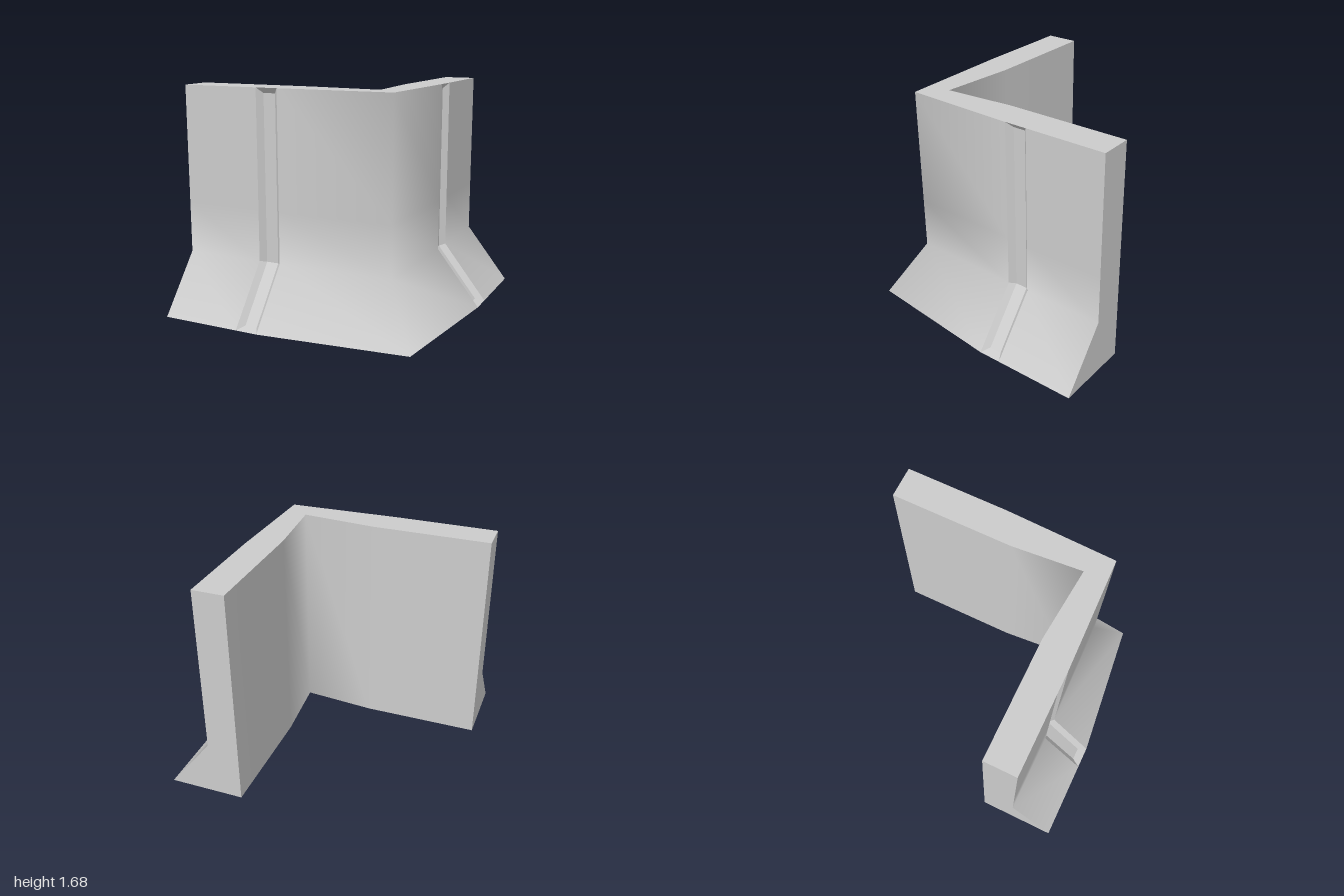
import * as THREE from 'three';

const TOP = 1.68, KINK = 0.42;

// Grid of points: columns run left to right, points run top to bottom, seen from outside.
function sheet(name, columns, smooth = false) {
  const rows = columns[0].length, index = [];
  for (let i = 0; i < columns.length - 1; i++) {
    for (let j = 0; j < rows - 1; j++) {
      const a = i * rows + j, b = a + 1, c = a + rows, d = c + 1;
      index.push(a, b, d, a, d, c);
    }
  }
  let geometry = new THREE.BufferGeometry();
  geometry.setAttribute('position', new THREE.Float32BufferAttribute(columns.flat(2), 3));
  geometry.setIndex(index);
  if (!smooth) geometry = geometry.toNonIndexed();
  geometry.computeVertexNormals();
  const mesh = new THREE.Mesh(geometry, new THREE.MeshStandardMaterial({ color: 0xcccccc }));
  mesh.name = name;
  return mesh;
}

export function createModel() {
  const group = new THREE.Group();
  group.name = 'cornerWall';

  // Plan outlines, from the left end around the corner to the back end: [x, z]
  const inner = [[-1, 0.41], [-0.1, 0.41], [0.47, 0.46], [0.428, -0.07], [0.428, -0.99]];
  const upper = [[-1, 0.655], [-0.225, 0.655], [0.64, 0.63], [0.667, -0.215], [0.667, -0.99]];
  const foot = [[-1, 0.987], [-0.225, 0.987], [0.875, 0.865], [0.999, -0.215], [0.999, -0.99]];

  const at = ([x, z], y) => [x, y, z];
  const outerColumn = (u, f) => [at(u, TOP), at(u, 0.8), at(u, KINK), at(f, 0)];
  const innerColumn = (p) => [at(p, TOP), at(p, 0.8), at(p, KINK), at(p, 0)];
  const outer = upper.map((u, i) => outerColumn(u, foot[i]));

  // Outer face, interrupted by the two grooves
  group.add(sheet('leftOuterFace', [outer[0], outerColumn([-0.395, 0.655], [-0.395, 0.987])], true));
  group.add(sheet('cornerOuterFace', outer.slice(1, 4), true));
  group.add(sheet('backOuterFace', [outerColumn([0.667, -0.385], [0.999, -0.385]), outer[4]], true));

  // Inner face, top, underside and ends
  group.add(sheet('innerFace', inner.map((p) => [at(p, TOP), at(p, 0)]).reverse(), true));
  group.add(sheet('topFace', inner.map((p, i) => [at(p, TOP), at(upper[i], TOP)])));
  group.add(sheet('underside', inner.map((p, i) => [at(foot[i], 0), at(p, 0)])));
  group.add(sheet('leftEnd', [innerColumn(inner[0]), outer[0]]));
  group.add(sheet('backEnd', [outer[4], innerColumn(inner[4])]));

  // Bevelled groove following the wall profile; place maps (along, y, out) to a point
  function addGroove(name, place) {
    const edge = (u) => [[TOP, 0.655], [KINK, 0.655], [0, 0.987]].map(([y, w]) => place(u, y, w));
    const floor = (u) => [[1.64, 0.615], [0.408, 0.615], [0.02, 0.921]].map(([y, w]) => place(u, y, w));
    const el = edge(-0.395), fl = floor(-0.356), fr = floor(-0.262), er = edge(-0.225);
    const groove = new THREE.Group();
    groove.name = name;
    groove.add(sheet('grooveChannel', [el, fl, fr, er]));
    groove.add(sheet('grooveTopBevel', [[el[0], fl[0]], [er[0], fr[0]]]));
    groove.add(sheet('grooveBottomBevel', [[fl[2], el[2]], [fr[2], er[2]]]));
    group.add(groove);
  }
  addGroove('frontGroove', (u, y, w) => [u, y, w]);
  addGroove('sideGroove', (u, y, w) => [w + 0.012, y, -u - 0.61]);

  return group;
}
